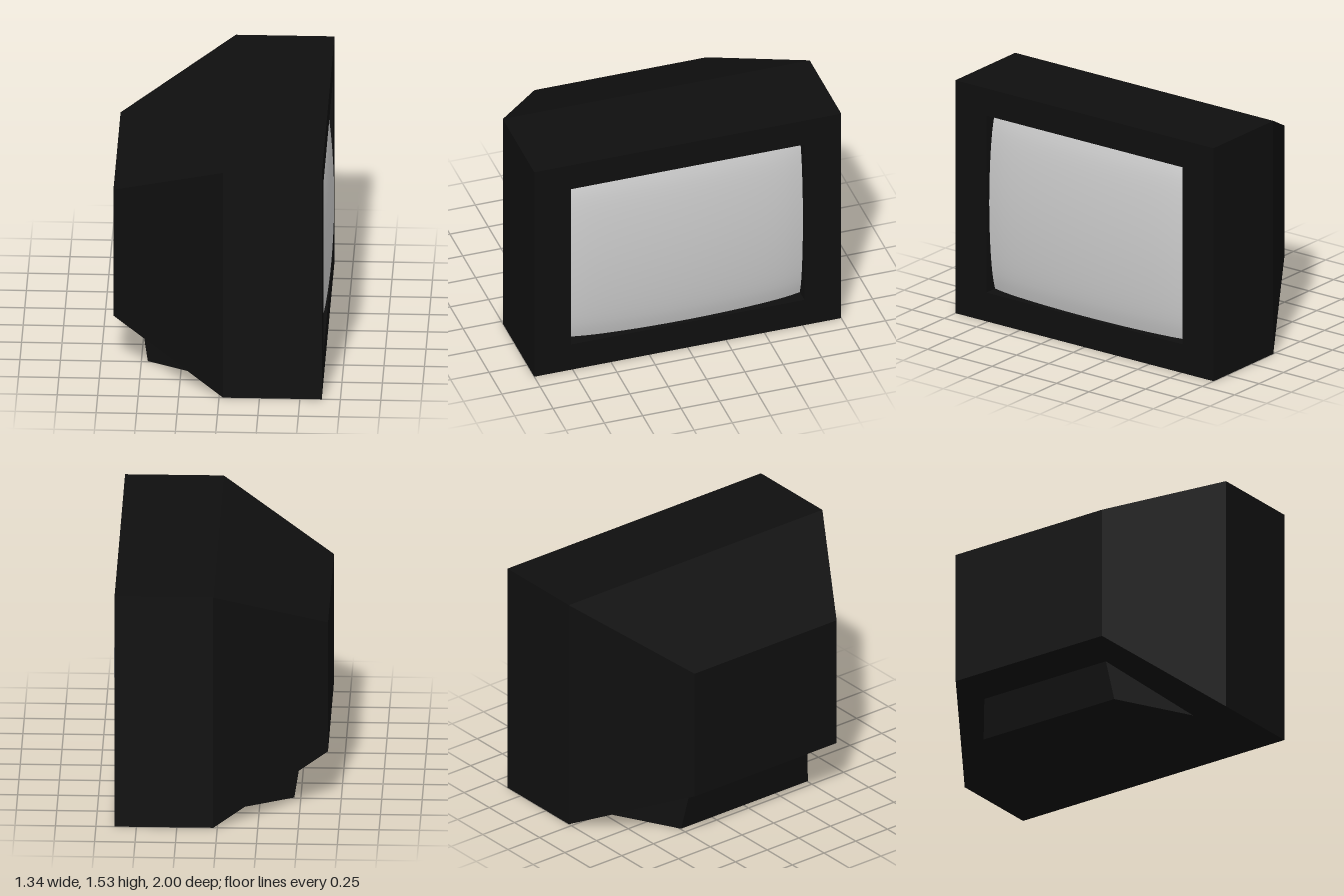
import * as THREE from 'three';
import { ConvexGeometry } from 'three/addons/geometries/ConvexGeometry.js';

const FRONT = 0.635, HEIGHT = 1.535;
const OPEN_Z = 0.76, OPEN_Y0 = 0.19, OPEN_Y1 = 1.355;
const BEZEL_DEPTH = 0.14;

// Convex solid from mirrored pairs of points [x, y, z], each also placed at -z
function mirroredHull(points) {
  return new ConvexGeometry(points.flatMap(([x, y, z]) => [
    new THREE.Vector3(x, y, z), new THREE.Vector3(x, y, -z),
  ]));
}

// Counter-clockwise or clockwise rectangle outline
function rectangle(path, x0, y0, x1, y1) {
  path.moveTo(x0, y0);
  path.lineTo(x1, y0);
  path.lineTo(x1, y1);
  path.lineTo(x0, y1);
  path.closePath();
  return path;
}

export function createModel() {
  const group = new THREE.Group();
  const black = new THREE.MeshStandardMaterial({ color: 0x0f0f0f, flatShading: true });
  const grey = new THREE.MeshStandardMaterial({ color: 0xcccccc, side: THREE.DoubleSide });

  const add = (name, geometry, material) => {
    const mesh = new THREE.Mesh(geometry, material);
    mesh.name = name;
    group.add(mesh);
  };

  // Casing: straight front half, tapering to a smaller back panel
  const join = FRONT - BEZEL_DEPTH;
  add('casing', mirroredHull([
    [join, 0, 1], [join, HEIGHT, 1],
    [0.025, 0, 1], [0.025, HEIGHT, 1],
    [-0.67, 0.34, 0.56], [-0.67, 1.2, 0.56],
  ]), black);

  // Bezel: frame with a rectangular opening, facing +x
  const frame = rectangle(new THREE.Shape(), -1, 0, 1, HEIGHT);
  frame.holes.push(rectangle(new THREE.Path(), -OPEN_Z, OPEN_Y0, OPEN_Z, OPEN_Y1));
  const bezel = new THREE.ExtrudeGeometry(frame, { depth: BEZEL_DEPTH, bevelEnabled: false });
  bezel.rotateY(Math.PI / 2).translate(join, 0, 0);
  add('bezel', bezel, black);

  // Screen: bulging glass that falls away faster near its edges
  const w = OPEN_Z * 2, h = OPEN_Y1 - OPEN_Y0;
  const screen = new THREE.PlaneGeometry(w, h, 24, 20);
  const p = screen.attributes.position;
  const drop = (t) => 0.045 * t ** 2 + 0.015 * t ** 8;
  for (let i = 0; i < p.count; i++) {
    p.setZ(i, -drop(Math.abs(p.getX(i)) / (w / 2)) - drop(Math.abs(p.getY(i)) / (h / 2)));
  }
  screen.computeVertexNormals();
  screen.rotateY(Math.PI / 2).translate(0.667, (OPEN_Y0 + OPEN_Y1) / 2, 0);
  add('screen', screen, grey);

  // Foot: wedge under the tapered back
  add('foot', mirroredHull([
    [-0.46, 0.005, 0.5], [0.03, 0.003, 0.76],
    [-0.5, 0.258, 0.465], [0.03, 0.258, 0.72],
  ]), black);

  return group;
}
